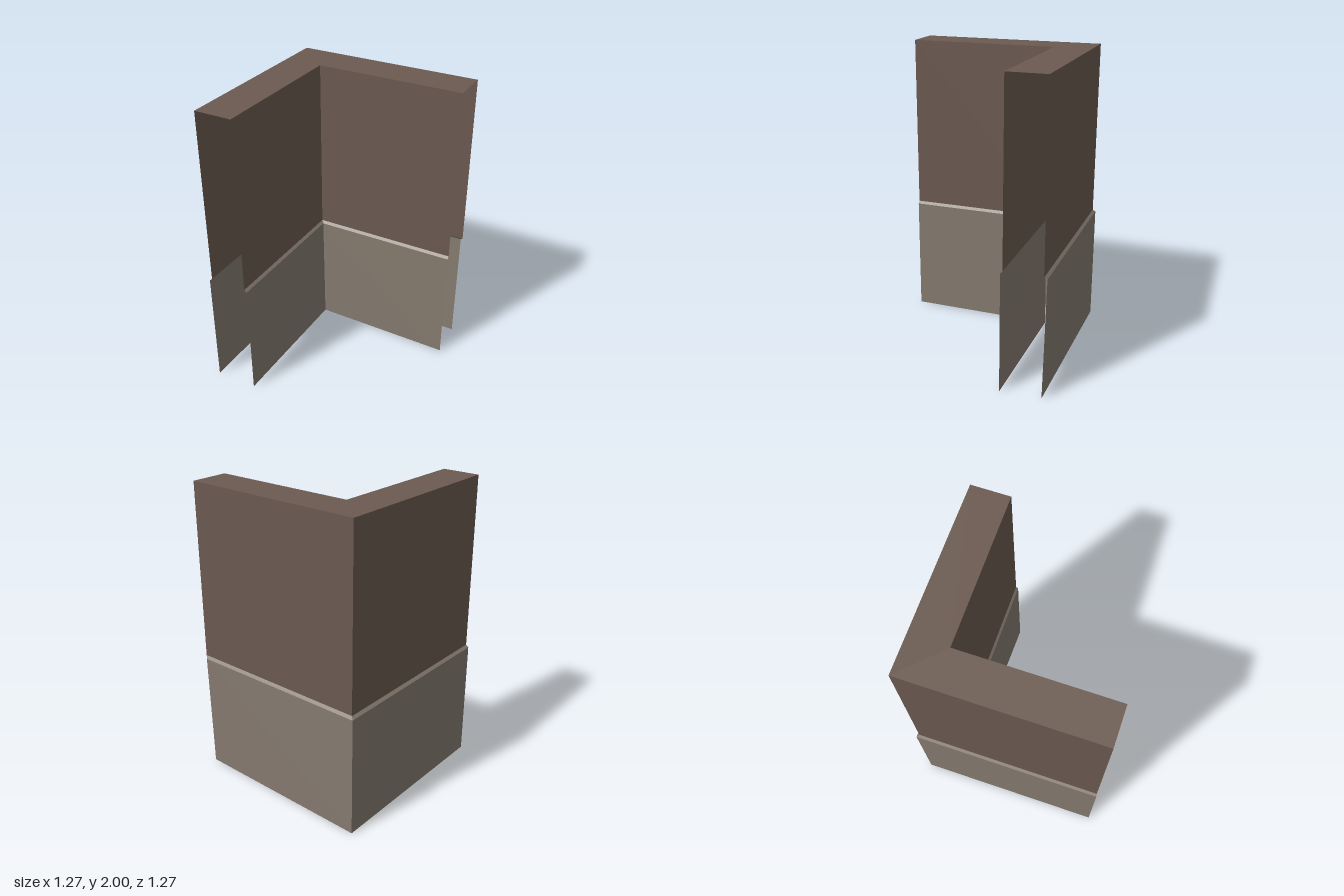
import * as THREE from 'three';

const brown = new THREE.MeshStandardMaterial({ color: 0x6b5a50, side: THREE.DoubleSide, flatShading: true });
const taupe = new THREE.MeshStandardMaterial({ color: 0x857a6f, side: THREE.DoubleSide, flatShading: true });

const END = 0.63, OUT = -0.62, IN = -0.365; // wall outline
const TOP = 2, SEAM = 0.82, LIP = 0.803;    // heights

// Places a plan outline of [x, z] points at height y
const row = (y, ...plan) => plan.map(([x, z]) => [x, y, z]);

// Joins horizontal rows of points, listed from top to bottom, with flat panels
function strip(name, material, ...rows) {
  const pos = [];
  for (let r = 0; r + 1 < rows.length; r++) {
    for (let i = 0; i + 1 < rows[r].length; i++) {
      const a = rows[r][i], b = rows[r][i + 1], c = rows[r + 1][i], d = rows[r + 1][i + 1];
      pos.push(...a, ...c, ...d, ...a, ...d, ...b);
    }
  }
  const geo = new THREE.BufferGeometry();
  geo.setAttribute('position', new THREE.Float32BufferAttribute(pos, 3));
  geo.computeVertexNormals();
  const mesh = new THREE.Mesh(geo, material);
  mesh.name = name;
  return mesh;
}

export function createModel() {
  const group = new THREE.Group();
  group.name = 'cornerWall';

  // Plan outlines: outer runs from the x end round the corner to the z end, inner runs back
  const outer = [[END, OUT], [OUT, OUT], [OUT, END]];
  const inner = [[IN, END], [IN, IN], [END, IN]];

  // Upper wall skins, open at the ends and underneath
  group.add(strip('upperOuterWall', brown, row(TOP, ...outer), row(SEAM, ...outer)));
  group.add(strip('upperInnerWall', brown, row(TOP, ...inner), row(SEAM, ...inner)));

  // L-shaped cap
  const shape = new THREE.Shape([...outer, ...inner].map(([x, z]) => new THREE.Vector2(x, -z)));
  const cap = new THREE.Mesh(new THREE.ShapeGeometry(shape), brown);
  cap.name = 'topCap';
  cap.rotation.x = -Math.PI / 2;
  cap.position.y = TOP;
  group.add(cap);

  // Wainscot lips stand proud of the wall, with a mitred outer end
  const lipOuter = [[0.612, -0.636], [-0.637, -0.636], [-0.637, 0.633]];
  const lipInner = [[-0.349, END], [-0.349, -0.35], [END, -0.35]];
  group.add(strip('outerLedge', taupe, row(SEAM, ...outer), row(LIP, ...lipOuter)));
  group.add(strip('innerLedge', taupe, row(SEAM, ...inner), row(LIP, ...lipInner)));

  // Lower panels, whose feet lean in slightly at one corner each
  const footOuter = [[0.614, -0.62], lipOuter[1], lipOuter[2]];
  const footInner = [lipInner[0], [-0.349, IN], lipInner[2]];
  group.add(strip('lowerOuterPanel', taupe, row(LIP, ...lipOuter), row(0, ...footOuter)));
  group.add(strip('lowerInnerPanel', taupe, row(LIP, ...lipInner), row(0, ...footInner)));

  return group;
}
